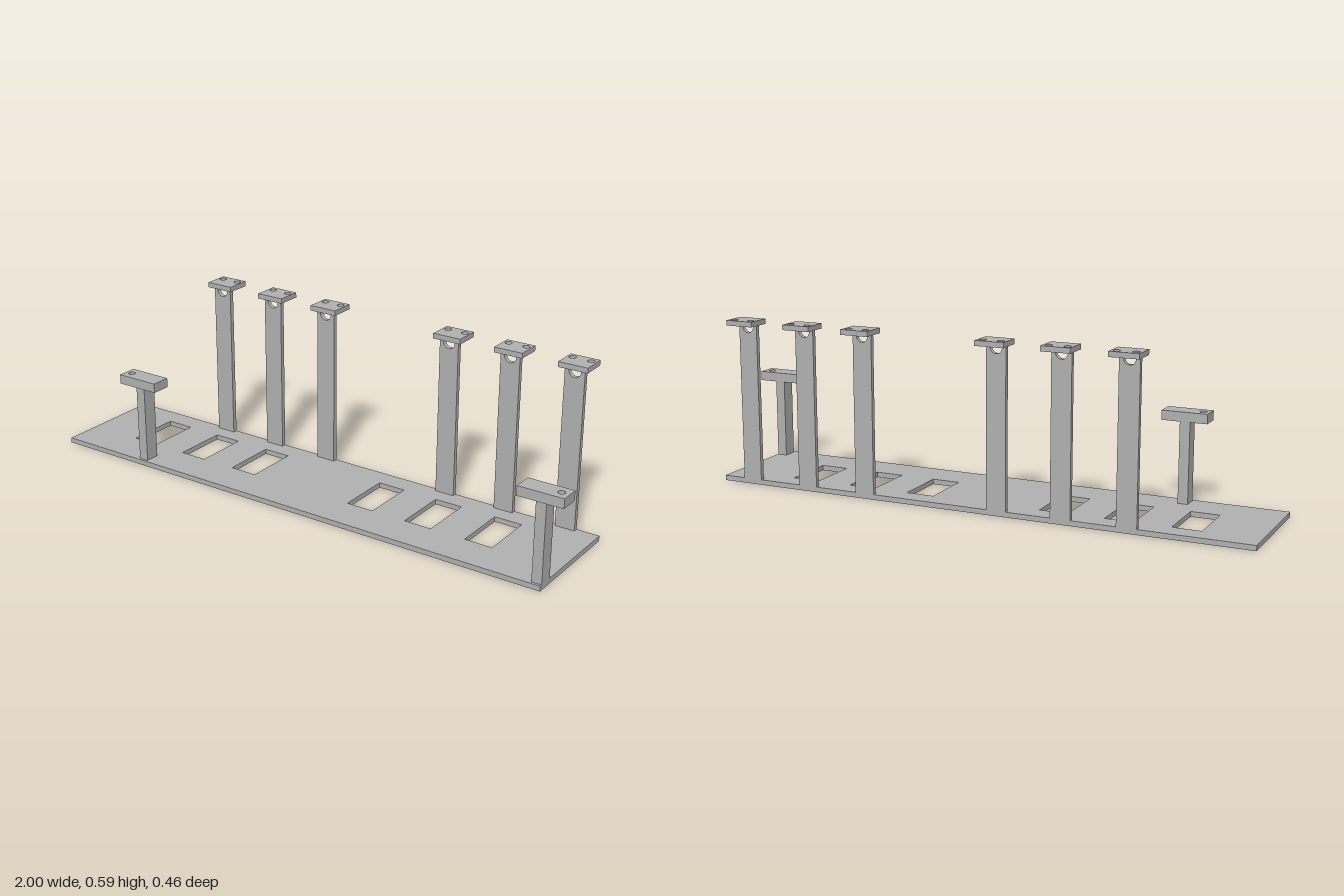
import * as THREE from 'three';

const grey = new THREE.MeshStandardMaterial({ color: 0xb0b0b0 });
grey.name = 'plain grey';

function rectPath(PathType, x0, x1, y0, y1) {
  return new PathType().setFromPoints([
    new THREE.Vector2(x0, y0), new THREE.Vector2(x1, y0),
    new THREE.Vector2(x1, y1), new THREE.Vector2(x0, y1),
  ]).closePath();
}

function roundHole(x, y, r) {
  return new THREE.Path().absarc(x, y, r, 0, Math.PI * 2, true);
}

// Horizontal slab spanning x and z, with holes given in (x, -z)
function slab(name, x0, x1, z0, z1, y0, y1, holes) {
  const shape = rectPath(THREE.Shape, x0, x1, -z1, -z0);
  shape.holes.push(...holes);
  const geo = new THREE.ExtrudeGeometry(shape, { depth: y1 - y0, bevelEnabled: false, curveSegments: 16 });
  geo.rotateX(-Math.PI / 2).translate(0, y0, 0);
  const mesh = new THREE.Mesh(geo, grey);
  mesh.name = name;
  return mesh;
}

// Tall rear post: thin upright with a round notch under a drilled cap
function rearPost(x) {
  const group = new THREE.Group();
  group.name = 'rearPost';
  const top = 0.57, cy = 0.561, r = 0.021;
  const a = Math.asin((top - cy) / r), dx = r * Math.cos(a);
  const shape = new THREE.Shape();
  shape.moveTo(-0.035, 0.018);
  shape.lineTo(0.035, 0.018);
  shape.lineTo(0.035, top);
  shape.lineTo(dx, top);
  shape.absarc(0, cy, r, a, -Math.PI - a, true);
  shape.lineTo(-0.035, top);
  shape.closePath();
  const geo = new THREE.ExtrudeGeometry(shape, { depth: 0.016, bevelEnabled: false, curveSegments: 24 });
  geo.translate(0, 0, -0.178);
  const upright = new THREE.Mesh(geo, grey);
  upright.name = 'rearUpright';
  const holes = [-0.032, 0.032].map((hx) => roundHole(hx, 0.207, 0.012));
  group.add(upright, slab('rearCap', -0.051, 0.051, -0.232, -0.145, top, 0.588, holes));
  group.position.x = x;
  return group;
}

// Short front post with an arm drilled at its outer end
function frontPost(x, armStart, holeX) {
  const group = new THREE.Group();
  group.name = 'frontPost';
  const upright = new THREE.Mesh(new THREE.BoxGeometry(0.035, 0.279, 0.052), grey);
  upright.name = 'frontUpright';
  upright.position.set(x, 0.1575, 0.19);
  group.add(upright, slab('frontArm', armStart, armStart + 0.157, 0.164, 0.233, 0.297, 0.33,
    [roundHole(holeX, -0.198, 0.012)]));
  return group;
}

export function createModel() {
  const model = new THREE.Group();
  model.name = 'mountingFrame';
  const postXs = [-0.58, -0.354, -0.127, 0.366, 0.592, 0.819];

  // Base plate with one window beside each rear post
  const windows = postXs.map((x) => rectPath(THREE.Path, x - 0.225, x - 0.125, -0.09, 0.105));
  model.add(slab('basePlate', -1, 0.935, -0.178, 0.225, 0, 0.018, windows));

  postXs.forEach((x) => model.add(rearPost(x)));
  model.add(frontPost(-0.653, -0.729, -0.705), frontPost(0.9175, 0.843, 0.972));
  return model;
}
